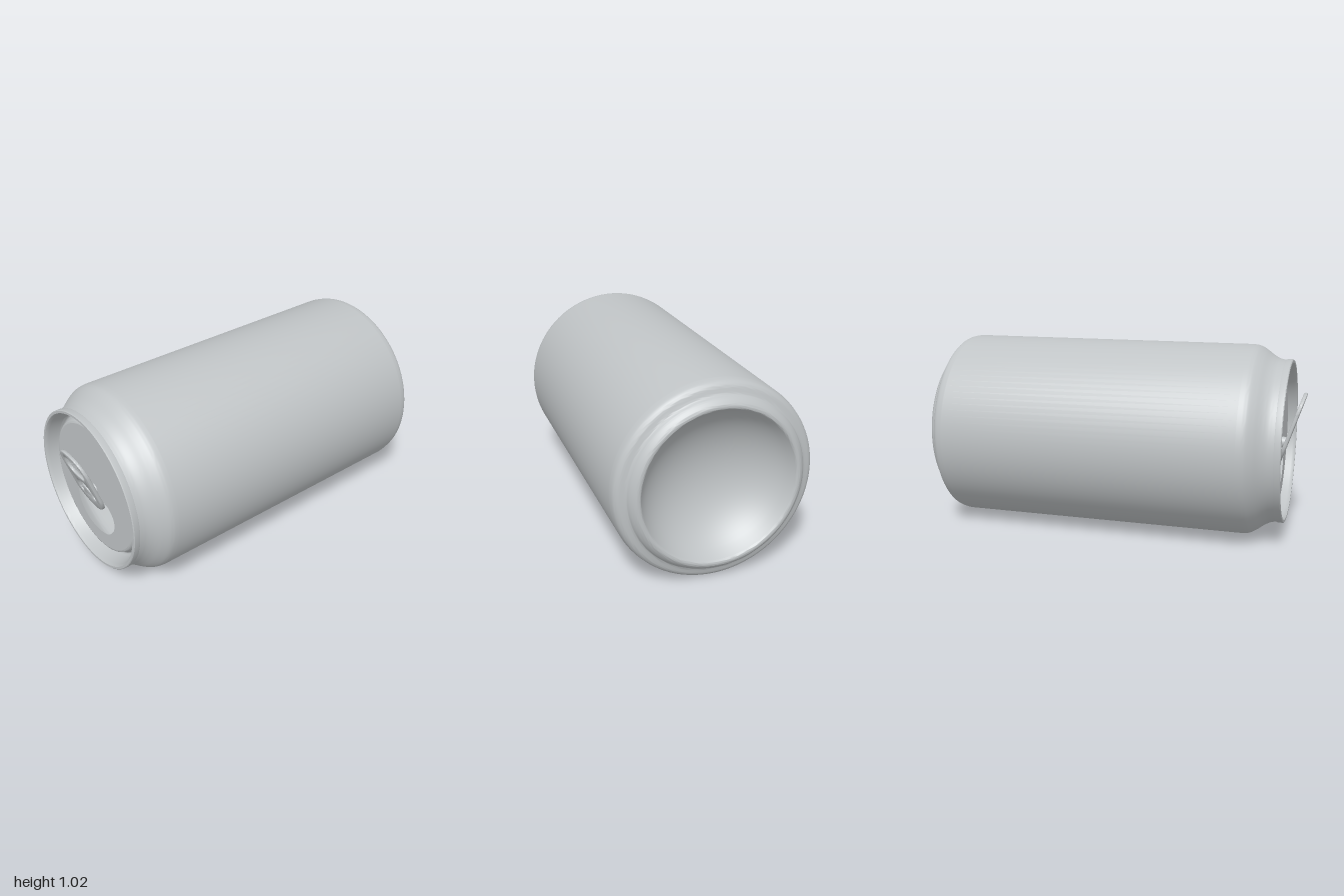
import * as THREE from 'three';
import { toCreasedNormals } from 'three/addons/utils/BufferGeometryUtils.js';

const CY = 0.514;       // height of the can's axis
const PANEL_Z = 0.868;  // plane of the lid panel
const PANEL_R = 0.352;

const vec = (pts) => pts.map(([x, y]) => new THREE.Vector2(x, y));
const smooth = (pts, n) => new THREE.SplineCurve(vec(pts)).getPoints(n);

// Revolve a (radius, z) profile around the can's axis
function revolve(profile) {
  const g = new THREE.LatheGeometry(profile, 96);
  g.rotateX(Math.PI / 2).translate(0, CY, 0);
  return toCreasedNormals(g, 0.6);
}

// Mouth outline: hinge line on top, rounded below
const hingeA = [-0.152, 0.512], hingeB = [0.125, 0.457];
function mouthPoints() {
  return smooth([hingeA, [-0.168, 0.45], [-0.175, 0.39], [-0.155, 0.32], [-0.095, 0.263], [0, 0.243],
    [0.095, 0.263], [0.155, 0.32], [0.173, 0.375], [0.16, 0.422], hingeB], 60);
}

function roundedRect(path, x0, x1, y0, y1, rTop, rBottom) {
  path.moveTo(x0 + rBottom, y0);
  path.lineTo(x1 - rBottom, y0);
  path.absarc(x1 - rBottom, y0 + rBottom, rBottom, -Math.PI / 2, 0, false);
  path.absarc(x1 - rTop, y1 - rTop, rTop, 0, Math.PI / 2, false);
  path.absarc(x0 + rTop, y1 - rTop, rTop, Math.PI / 2, Math.PI, false);
  path.absarc(x0 + rBottom, y0 + rBottom, rBottom, Math.PI, Math.PI * 1.5, false);
  return path;
}

// Horseshoe slot around the rivet tongue
function horseshoe(cy, rOut, rIn, drop) {
  const p = new THREE.Path(), mid = (rOut + rIn) / 2, cap = (rOut - rIn) / 2;
  p.absarc(0, cy, rOut, 0, Math.PI, false);
  p.absarc(-mid, cy - drop, cap, Math.PI, Math.PI * 2, false);
  p.absarc(0, cy, rIn, Math.PI, 0, true);
  p.absarc(mid, cy - drop, cap, Math.PI, Math.PI * 2, false);
  return p;
}

export function createModel() {
  const can = new THREE.Group();
  can.name = 'drinkCan';
  const metal = new THREE.MeshStandardMaterial({ color: 0xc0c4c6, side: THREE.DoubleSide });
  metal.name = 'bare metal';
  const add = (name, geometry) => {
    const mesh = new THREE.Mesh(geometry, metal);
    mesh.name = name;
    can.add(mesh);
    return mesh;
  };

  // Domed base, hollow towards the back
  const dome = [];
  for (let i = 0; i <= 20; i++) {
    const r = 0.388 * i / 20;
    dome.push(new THREE.Vector2(r, -0.79 - 0.2 * (1 - Math.sqrt(1 - (r / 0.42) ** 2)) / (1 - Math.sqrt(1 - (0.388 / 0.42) ** 2))));
  }
  add('baseDome', revolve(dome));

  // Standing ring, side wall and neck
  add('body', revolve([
    ...smooth([[0.388, -0.99], [0.394, -0.998], [0.404, -1], [0.414, -0.998], [0.428, -0.987], [0.44, -0.973],
      [0.449, -0.958], [0.468, -0.951], [0.487, -0.944], [0.504, -0.925], [0.512, -0.89]], 40),
    ...smooth([[0.512, 0.7], [0.506, 0.738], [0.485, 0.775], [0.458, 0.812], [0.441, 0.845], [0.433, 0.88]], 24),
  ]));

  // Seamed rim and the sunken groove inside it
  add('rim', revolve([
    ...vec([[0.427, 0.88], [0.437, 0.88], [0.438, 0.884], [0.438, 0.911], [0.434, 0.915], [0.422, 0.915], [0.418, 0.911]]),
    ...smooth([[0.414, 0.895], [0.404, 0.86], [0.395, 0.835], [0.385, 0.826], [0.376, 0.833],
      [0.368, 0.853], [0.362, 0.864], [PANEL_R, PANEL_Z]], 30),
  ]));

  // Lid panel with the opened mouth
  const panel = new THREE.Shape();
  panel.absarc(0, CY, PANEL_R, 0, Math.PI * 2, false);
  panel.holes.push(new THREE.Path(mouthPoints()));
  add('lidPanel', new THREE.ShapeGeometry(panel, 96).translate(0, 0, PANEL_Z));

  // Flap pushed inwards about the slanted hinge line
  const flapGeometry = new THREE.ShapeGeometry(new THREE.Shape(mouthPoints()));
  flapGeometry.translate(-hingeA[0], -hingeA[1], 0);
  const flap = add('mouthFlap', flapGeometry);
  const axis = new THREE.Vector3(hingeB[0] - hingeA[0], hingeB[1] - hingeA[1], 0).normalize();
  flap.quaternion.setFromAxisAngle(axis, THREE.MathUtils.degToRad(68));
  flap.position.set(hingeA[0], hingeA[1], PANEL_Z - 0.001);

  // Pull tab, sheared so that its upper end stands off the lid
  const bevel = 0.006;
  const outline = roundedRect(new THREE.Shape(), -0.122 + bevel, 0.122 - bevel, 0.395 + bevel, 0.777 - bevel, 0.1, 0.115);
  outline.holes.push(roundedRect(new THREE.Path(), -0.086, 0.086, 0.619, 0.746, 0.056, 0.056));
  outline.holes.push(horseshoe(0.513, 0.082, 0.034, 0.012));
  const tab = new THREE.ExtrudeGeometry(outline, {
    depth: 0.008, bevelEnabled: true, bevelSize: bevel, bevelThickness: bevel, bevelSegments: 4, curveSegments: 20,
  });
  const slope = 0.333;
  tab.applyMatrix4(new THREE.Matrix4().set(
    1, 0, 0, 0,
    0, 1, 0, 0,
    0, slope, 1, 0.986 - slope * 0.777,
    0, 0, 0, 1));
  add('pullTab', toCreasedNormals(tab, 0.7));

  // Rivet holding the tab's tongue
  const rivet = new THREE.CylinderGeometry(0.026, 0.032, 0.036, 32);
  rivet.rotateX(Math.PI / 2).translate(0, 0.507, PANEL_Z + 0.018);
  add('rivet', rivet);

  return can;
}
